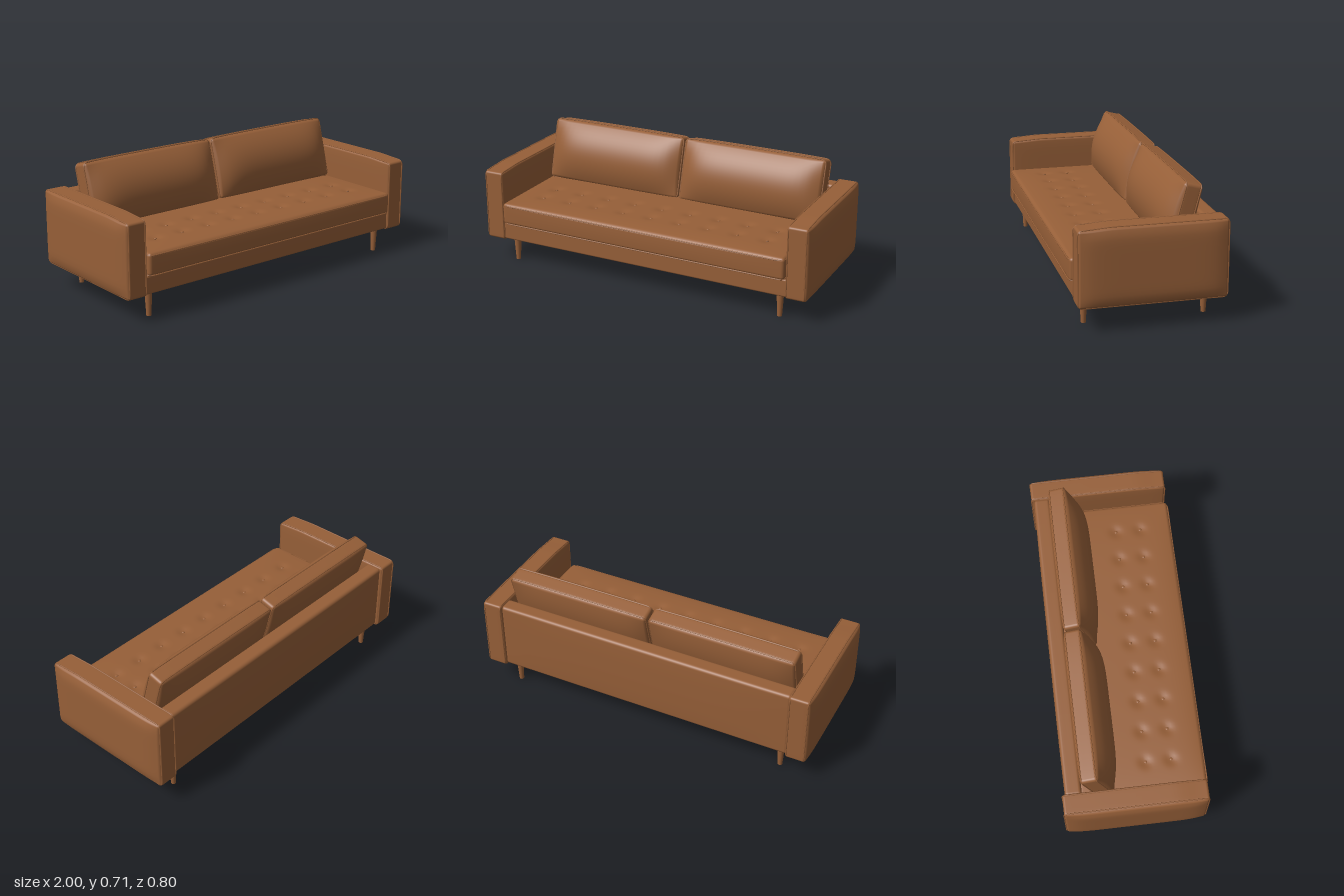
import * as THREE from 'three';
import { mergeVertices } from 'three/addons/utils/BufferGeometryUtils.js';

const leather = new THREE.MeshStandardMaterial({ color: 0x965f38 });
leather.name = 'tan leather';

// Grid coordinate with extra rows packed into the rounded rim
function remap(p, half, r, n) {
  const k = 4;
  const i = Math.round((p / (2 * half) + 0.5) * n);
  const inner = half - r;
  if (i <= k) return -half + (i / k) * r;
  if (i >= n - k) return half - ((n - i) / k) * r;
  return -inner + ((i - k) / (n - 2 * k)) * 2 * inner;
}

// Rounded, upholstered block; deform(v, u) may move each vertex, u being -1..1 coordinates
function upholstered([w, h, d], r, [nx, ny, nz], deform) {
  const half = new THREE.Vector3(w / 2, h / 2, d / 2);
  let geo = new THREE.BoxGeometry(w, h, d, nx, ny, nz);
  geo.deleteAttribute('uv');
  geo.deleteAttribute('normal');
  const pos = geo.attributes.position;
  const inner = half.clone().subScalar(r);
  const v = new THREE.Vector3();
  for (let i = 0; i < pos.count; i++) {
    v.fromBufferAttribute(pos, i);
    v.set(remap(v.x, half.x, r, nx), remap(v.y, half.y, r, ny), remap(v.z, half.z, r, nz));
    const core = v.clone().clamp(inner.clone().negate(), inner);
    v.sub(core).setLength(r).add(core);
    if (deform) deform(v, v.clone().divide(half));
    pos.setXYZ(i, v.x, v.y, v.z);
  }
  geo = mergeVertices(geo, 1e-5);
  geo.computeVertexNormals();
  return geo;
}

// Piping around a rounded rectangle; place(a, b) maps the flat loop into space
function piping(w, h, r, place, radius = 0.004) {
  const pts = [];
  const corners = [[1, 1], [-1, 1], [-1, -1], [1, -1]].map(([sx, sy]) => [sx * (w / 2 - r), sy * (h / 2 - r)]);
  corners.forEach(([cx, cy], q) => {
    for (let i = 0; i <= 4; i++) {
      const t = (q + i / 4) * Math.PI / 2;
      pts.push([cx + r * Math.cos(t), cy + r * Math.sin(t)]);
    }
    const [ax, ay] = pts[pts.length - 1];
    const t = (q + 1) * Math.PI / 2;
    const [nx, ny] = corners[(q + 1) % 4];
    const bx = nx + r * Math.cos(t), by = ny + r * Math.sin(t);
    for (let i = 1; i < 10; i++) pts.push([ax + (bx - ax) * i / 10, ay + (by - ay) * i / 10]);
  });
  const curve = new THREE.CatmullRomCurve3(pts.map(([a, b]) => place(a, b)), true);
  return new THREE.TubeGeometry(curve, 200, radius, 6, true);
}

export function createModel() {
  const sofa = new THREE.Group();
  sofa.name = 'sofa';
  const add = (name, geo, x = 0, y = 0, z = 0, parent = sofa) => {
    const mesh = new THREE.Mesh(geo, leather);
    mesh.name = name;
    mesh.position.set(x, y, z);
    parent.add(mesh);
    return mesh;
  };
  const vec = (x, y, z) => new THREE.Vector3(x, y, z);
  const bulge = (a, b, p) => Math.max(0, 1 - Math.abs(a) ** p) * Math.max(0, 1 - Math.abs(b) ** p);

  // Base rail and back panel
  add('baseFrame', upholstered([1.74, 0.1, 0.74], 0.01, [12, 10, 12]), 0, 0.186, -0.005);
  add('backPanel', upholstered([1.74, 0.4, 0.09], 0.018, [20, 14, 12], (v, u) => {
    if (u.z < 0) v.z -= 0.006 * bulge(u.x, u.y, 4);
  }), 0, 0.336, -0.338);

  // Arms with swollen outer panels, a softened front top edge and piped seams
  const frontDrop = z => -0.01 * THREE.MathUtils.smoothstep(z, 0.2, 0.385);
  for (const side of [1, -1]) {
    const arm = new THREE.Group();
    arm.name = side > 0 ? 'leftArm' : 'rightArm';
    arm.position.set(side * 0.919, 0.338, -0.012);
    sofa.add(arm);
    add('armBlock', upholstered([0.114, 0.412, 0.77], 0.014, [12, 24, 32], (v, u) => {
      const out = u.x * side;
      v.x += side * out * (out > 0 ? 0.022 : 0.004) * bulge(u.y, u.z, 8);
      if (u.y > 0) v.y += u.y * frontDrop(v.z);
    }), 0, 0, 0, arm);
    for (const x of [0.05, -0.05]) {
      add('armPiping', piping(0.77, 0.41, 0.024,
        (a, b) => vec(side * x, b + (b > 0 ? frontDrop(a) * b / 0.205 : 0), a)), 0, 0, 0, arm);
    }
  }

  // Seat cushion, dimpled by two rows of buttons
  const tufts = [];
  for (let i = -4; i <= 4; i++) for (const z of [0.07, 0.21]) tufts.push([i * 0.173, z]);
  const seatY = 0.298, seatZ = 0.043;
  const dimple = (x, z) => tufts.reduce((sum, [tx, tz]) =>
    sum + 0.01 * Math.exp(-((x - tx) ** 2 + (z - tz) ** 2) / 0.0009), 0);
  add('seatCushion', upholstered([1.716, 0.122, 0.69], 0.018, [110, 10, 50], (v, u) => {
    if (u.z > 0) v.z += 0.008 * u.z * bulge(u.x, u.y, 4);
    if (u.y > 0) v.y += u.y * (0.012 * bulge(u.x, u.z, 6) - dimple(v.x, v.z + seatZ));
  }), 0, seatY, seatZ);
  for (const y of [0.05, -0.056]) {
    add('seatPiping', piping(1.714, 0.692, 0.03, (a, b) => vec(a, y, b)), 0, seatY, seatZ);
  }
  const button = new THREE.SphereGeometry(0.009, 12, 8);
  button.scale(1, 0.4, 1);
  for (const [x, z] of tufts) add('seatButton', button, x, 0.362, z);

  // Two reclined back cushions, fuller at the front than at the back
  for (const side of [1, -1]) {
    const cushion = new THREE.Group();
    cushion.name = side > 0 ? 'leftBackCushion' : 'rightBackCushion';
    cushion.position.set(side * 0.427, 0.523, -0.207);
    cushion.rotation.x = -0.26;
    sofa.add(cushion);
    add('cushionBody', upholstered([0.842, 0.35, 0.098], 0.018, [32, 24, 12], (v, u) => {
      const puff = Math.max(0, 1 - u.x ** 6) * Math.max(0, 1 - u.y ** 2);
      v.z += u.z * (u.z > 0 ? 0.064 : 0.03) * puff;
      v.y += 0.005 * u.y * Math.max(0, 1 - u.x ** 4);
    }), 0, 0, 0, cushion);
    for (const z of [0.04, -0.04]) {
      add('cushionPiping', piping(0.84, 0.35, 0.025,
        (a, b) => vec(a, b + 0.005 * (b / 0.175) * (1 - (a / 0.421) ** 4), z)), 0, 0, 0, cushion);
    }
  }

  // Tapered round legs
  const leg = new THREE.CylinderGeometry(0.021, 0.013, 0.15, 20);
  for (const x of [0.815, -0.815]) {
    for (const z of [0.312, -0.321]) add(z > 0 ? 'frontLeg' : 'backLeg', leg, x, 0.075, z);
  }
  return sofa;
}
